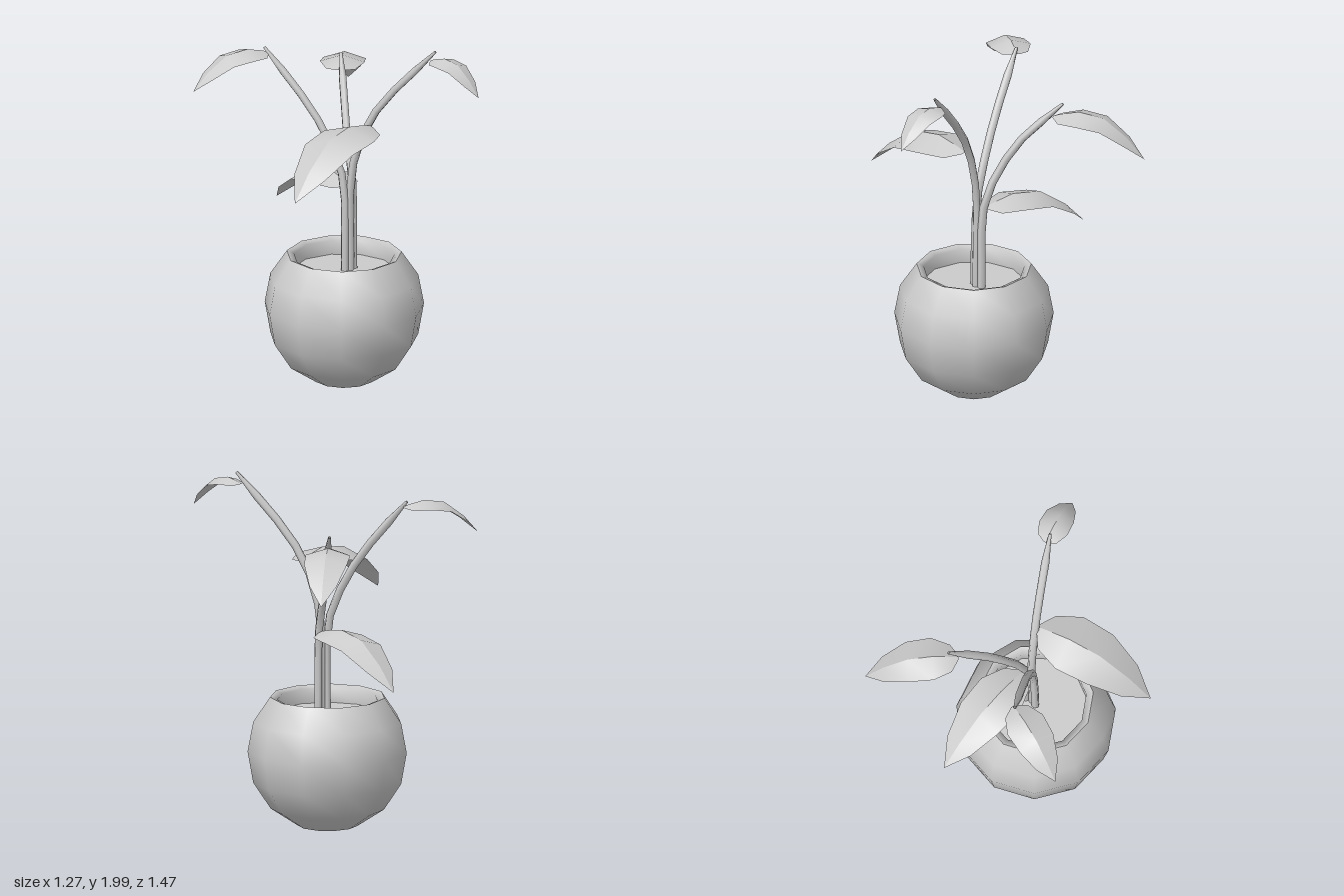
import * as THREE from 'three';

const SIDES = 11;
const material = new THREE.MeshStandardMaterial({ color: 0xcccccc, side: THREE.DoubleSide });

function mesh(name, geometry) {
  const m = new THREE.Mesh(geometry, material);
  m.name = name;
  return m;
}

// Faceted ring of revolution with a corner on +x
function lathe(profile) {
  const points = profile.map(([r, y]) => new THREE.Vector2(r, y));
  return new THREE.LatheGeometry(points, SIDES, Math.PI / 2);
}

// Curved tube whose last ring shrinks to a blunt tip
function stem(points) {
  const curve = new THREE.CatmullRomCurve3(points.map((p) => new THREE.Vector3(...p)));
  const rings = 12, radial = 6;
  const geometry = new THREE.TubeGeometry(curve, rings, 0.023, radial);
  const pos = geometry.attributes.position;
  const end = curve.getPoint(1);
  const v = new THREE.Vector3();
  for (let i = rings * (radial + 1); i < pos.count; i++) {
    v.fromBufferAttribute(pos, i).lerp(end, 0.65);
    pos.setXYZ(i, v.x, v.y, v.z);
  }
  return geometry;
}

// Leaf sections: position along, relative half width, rise relative to length
const SECTIONS = [
  [0, 0.12, 0], [0.08, 0.68, 0.025], [0.28, 1.05, 0.065],
  [0.55, 1, 0.02], [0.81, 0.63, -0.17], [1, 0, -0.38],
];

// Arched leaf made of two halves that meet in a raised midrib
function leaf(base, tip, halfWidth) {
  const dx = tip[0] - base[0], dz = tip[2] - base[2];
  const length = Math.hypot(dx, dz);
  const bend = (base[1] - tip[1]) / 0.38;
  const positions = [], index = [];
  for (const side of [-1, 1]) {
    const start = positions.length / 3;
    SECTIONS.forEach(([t, w, rise], i) => {
      const x = base[0] + dx * t, z = base[2] + dz * t;
      const y = base[1] + rise * bend;
      const reach = side * w * halfWidth;
      positions.push(x, y, z);
      positions.push(x - (dz / length) * reach, y - 0.32 * w * halfWidth, z + (dx / length) * reach);
      if (i === 0) return;
      const a = start + (i - 1) * 2, b = a + 1, c = a + 2, d = a + 3;
      if (side > 0) index.push(a, b, c, b, d, c);
      else index.push(a, c, b, b, c, d);
    });
  }
  const geometry = new THREE.BufferGeometry();
  geometry.setAttribute('position', new THREE.Float32BufferAttribute(positions, 3));
  // Upper faces must wind upwards
  geometry.setIndex(index.map((_, i) => index[i - (i % 3) + [0, 2, 1][i % 3]]));
  geometry.computeVertexNormals();
  return geometry;
}

export function createModel() {
  const plant = new THREE.Group();
  plant.name = 'pottedPlant';

  // Round pot, open underneath, with a slanted rim and inner lip
  const pot = new THREE.Group();
  pot.name = 'pot';
  pot.position.x = 0.008;
  pot.add(mesh('potWall', lathe([
    [0.17, 0], [0.322, 0.1], [0.42, 0.25], [0.452, 0.43], [0.42, 0.6], [0.325, 0.74],
  ])));
  pot.add(mesh('potRim', lathe([[0.325, 0.74], [0.285, 0.725], [0.29, 0.64]])));
  const soil = mesh('soil', new THREE.CircleGeometry(0.29, SIDES));
  soil.rotation.x = -Math.PI / 2;
  soil.position.y = 0.64;
  pot.add(soil);
  plant.add(pot);

  // Three stems that fan out towards the top
  const stems = {
    leftBackStem: [[0.013, 0.03, 0], [0.013, 0.7, 0], [0.015, 1.18, -0.02], [-0.025, 1.4, -0.1],
      [-0.09, 1.6, -0.21], [-0.22, 1.9, -0.43]],
    frontStem: [[0.045, 0.03, 0.01], [0.045, 0.7, 0.01], [0.05, 1.18, 0.01], [0.08, 1.42, 0.06],
      [0.14, 1.63, 0.16], [0.305, 1.99, 0.45]],
    rightBackStem: [[0.08, 0.03, -0.005], [0.08, 0.7, -0.005], [0.085, 1.15, -0.02],
      [0.115, 1.35, -0.1], [0.175, 1.53, -0.2], [0.31, 1.76, -0.4]],
  };
  for (const [name, points] of Object.entries(stems)) plant.add(mesh(name, stem(points)));

  // Drooping leaves: base, tip, half width
  const leaves = {
    leftBackLeaf: [[-0.2, 1.87, -0.42], [-0.635, 1.69, -0.55], 0.11],
    lowBackLeaf: [[0.08, 1.125, -0.03], [0.08, 0.885, -0.69], 0.14],
    rightBackLeaf: [[0.27, 1.68, -0.36], [0.635, 1.46, -0.735], 0.12],
    largeFrontLeaf: [[0.1, 1.51, 0.12], [-0.59, 1.24, 0.3], 0.165],
    topFrontLeaf: [[0.305, 1.93, 0.41], [0.39, 1.77, 0.73], 0.085],
  };
  for (const [name, args] of Object.entries(leaves)) plant.add(mesh(name, leaf(...args)));

  return plant;
}
